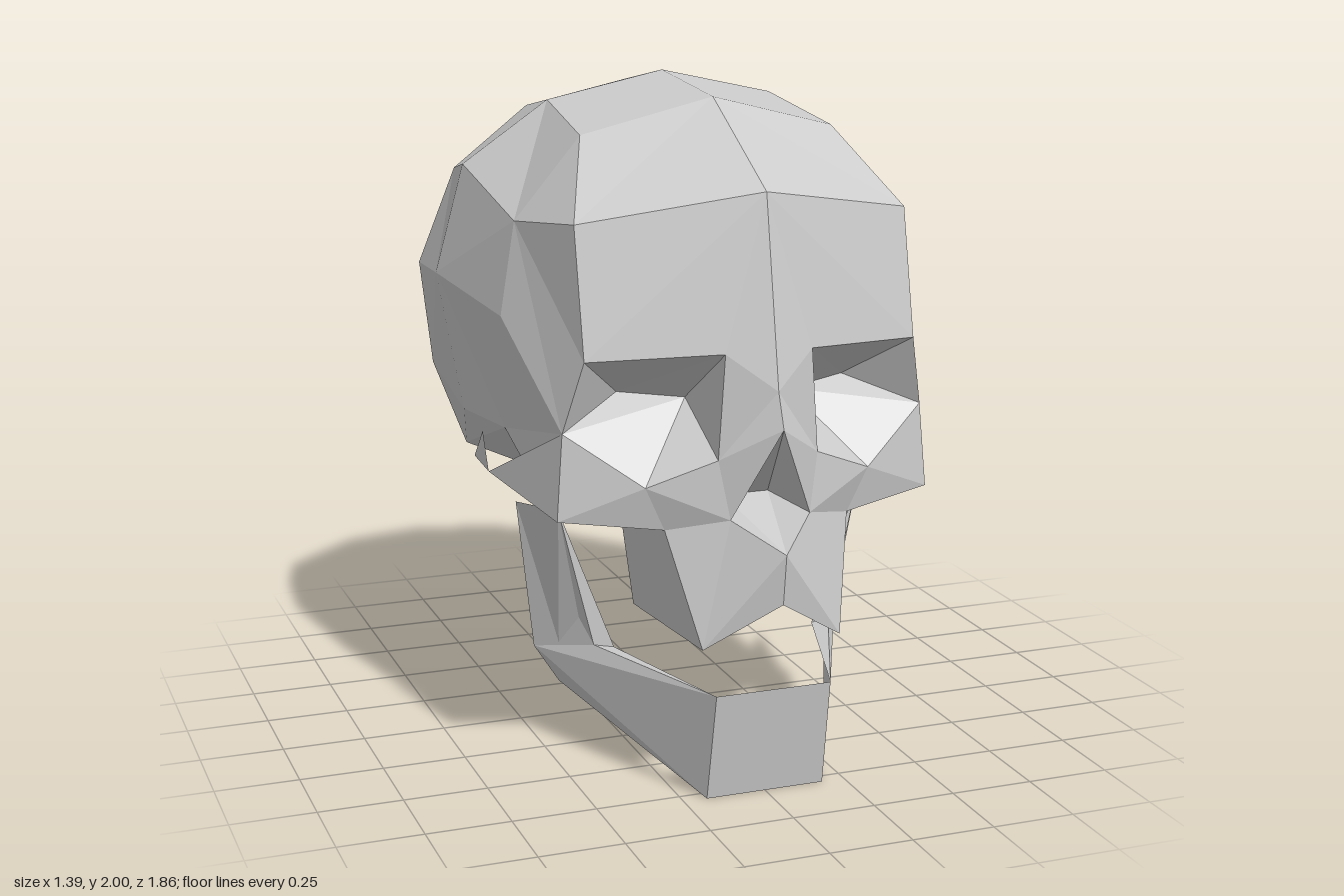
import * as THREE from 'three';

const bone = new THREE.MeshStandardMaterial({ color: 0xcccccc, flatShading: true, side: THREE.DoubleSide });

// Builds a mesh from polygons of the x > 0 half and their mirror images.
function mirrored(name, polygons) {
  const pos = [];
  for (const poly of polygons) {
    for (let i = 1; i < poly.length - 1; i++) {
      const tri = [poly[0], poly[i], poly[i + 1]];
      for (const [x, y, z] of tri) pos.push(x, y, z);
      for (const [x, y, z] of tri.reverse()) pos.push(-x, y, z);
    }
  }
  const geo = new THREE.BufferGeometry();
  geo.setAttribute('position', new THREE.Float32BufferAttribute(pos, 3));
  geo.computeVertexNormals();
  const mesh = new THREE.Mesh(geo, bone);
  mesh.name = name;
  return mesh;
}

export function createModel() {
  const skull = new THREE.Group();
  skull.name = 'skull';

  // Shared face points
  const foreheadTop = [0, 1.74, 0.76], foreheadCorner = [0.5, 1.65, 0.59];
  const browOut = [0.5, 1.28, 0.67], browIn = [0.13, 1.3, 0.79];
  const nasion = [0, 1.2, 0.86], noseTip = [0, 1.1, 0.9];
  const noseSide = [0.12, 0.83, 0.81], spine = [0, 0.75, 0.93];
  const noseDeep = [0.07, 0.85, 0.62], noseBack = [0, 0.85, 0.62];
  const rimIn = [0.15, 1.0, 0.79], rimLow = [0.34, 0.92, 0.72], rimOut = [0.55, 1.07, 0.62];
  const deepIn = [0.16, 1.13, 0.55], deepOut = [0.35, 1.15, 0.5];
  const cheekLow = [0.57, 0.82, 0.63], jawRoot = [0.28, 0.79, 0.71];

  // Cranium: half sections from front to back, each from crown to base
  const rings = [
    [foreheadTop, foreheadCorner, browOut, rimOut, cheekLow, [0.32, 0.8, 0.5], [0, 0.83, 0.45]],
    [[0, 1.96, 0.35], [0.39, 1.86, 0.31], [0.58, 1.62, 0.28], [0.63, 1.35, 0.3], [0.6, 1.0, 0.22], [0.45, 0.84, 0.2], [0, 0.83, 0.2]],
    [[0, 2.0, -0.08], [0.36, 1.92, -0.1], [0.61, 1.73, -0.16], [0.695, 1.4, -0.18], [0.65, 1.0, -0.05], [0.61, 0.86, -0.18], [0, 0.8, 0]],
    [[0, 1.94, -0.43], [0.33, 1.87, -0.42], [0.56, 1.68, -0.45], [0.67, 1.38, -0.49], [0.64, 1.06, -0.46], [0.52, 0.82, -0.42], [0, 0.67, -0.4]],
    [[0, 1.81, -0.65], [0.27, 1.74, -0.65], [0.46, 1.53, -0.69], [0.55, 1.22, -0.71], [0.49, 0.94, -0.65], [0.28, 0.7, -0.58], [0, 0.66, -0.52]],
    [[0, 1.6, -0.8], [0.19, 1.52, -0.82], [0.32, 1.35, -0.86], [0.34, 1.15, -0.88], [0.28, 0.92, -0.8], [0.14, 0.77, -0.7], [0, 0.72, -0.66]],
  ];
  const pole = [0, 1.19, -0.93];
  const shell = [];
  rings.forEach((ring, i) => {
    const next = rings[i + 1];
    for (let j = 0; j < ring.length - 1; j++) {
      if (!next) shell.push([ring[j], ring[j + 1], pole]);
      else if ((i + j) % 2) shell.push([ring[j], ring[j + 1], next[j + 1], next[j]]);
      else shell.push([ring[j + 1], next[j + 1], next[j], ring[j]]);
    }
  });
  skull.add(mirrored('cranium', shell));

  skull.add(mirrored('forehead', [[foreheadTop, nasion, browIn, browOut, foreheadCorner]]));

  skull.add(mirrored('eyeSockets', [
    [browIn, deepIn, deepOut, browOut],
    [browOut, deepOut, rimOut],
    [deepIn, rimIn, rimLow, rimOut, deepOut],
    [browIn, rimIn, deepIn],
  ]));

  // Bridge, sides and recess of the nose
  skull.add(mirrored('nose', [
    [nasion, noseTip, rimIn, browIn],
    [noseTip, noseSide, rimIn],
    [noseTip, noseDeep, noseSide],
    [noseTip, noseBack, noseDeep],
    [spine, noseSide, noseDeep, noseBack],
  ]));

  // Upper jaw
  const jawMid = [0, 0.6, 0.91], jawCorner = [0.21, 0.465, 0.83];
  const jawBackLow = [0.29, 0.5, 0.47], jawBackTop = [0.33, 0.79, 0.47];
  skull.add(mirrored('upperJaw', [
    [jawCorner, jawRoot, noseSide, spine, jawMid],
    [jawRoot, jawCorner, jawBackLow, jawBackTop],
  ]));

  // Cheekbones with the arch running back to the temple
  const arch = [0.66, 0.88, 0.25], archTop = [0.64, 0.97, 0.12], archBack = [0.62, 0.85, -0.05];
  skull.add(mirrored('cheekbones', [
    [rimIn, noseSide, rimLow],
    [noseSide, jawRoot, rimLow],
    [rimLow, jawRoot, cheekLow],
    [rimLow, cheekLow, rimOut],
    [jawRoot, jawBackTop, cheekLow],
    [rimOut, cheekLow, arch],
    [arch, archBack, archTop],
  ]));

  // Lower jaw: chin plate, wedge-shaped body and upright branch
  const chinTop = [0.175, 0.33, 0.85], chinLow = [0.18, 0, 0.79];
  const bendOut = [0.38, 0.35, 0.37], bendIn = [0.32, 0.34, 0.38];
  const angle = [0.5, 0.29, 0.15], angleIn = [0.44, 0.19, 0.21];
  const tipFront = [0.48, 0.77, 0.35], tipBack = [0.53, 0.73, 0.08];
  skull.add(mirrored('lowerJaw', [
    [[0, 0.33, 0.85], [0, 0, 0.79], chinLow, chinTop],
    [chinTop, chinLow, angle, bendOut],
    [chinLow, angleIn, angle],
    [chinTop, bendOut, bendIn],
    [chinTop, bendIn, angleIn, chinLow],
    [bendOut, angle, tipBack, tipFront],
    [bendIn, bendOut, tipFront],
    [tipFront, tipBack, angleIn, bendIn],
    [tipBack, angle, angleIn],
  ]));

  return skull;
}
